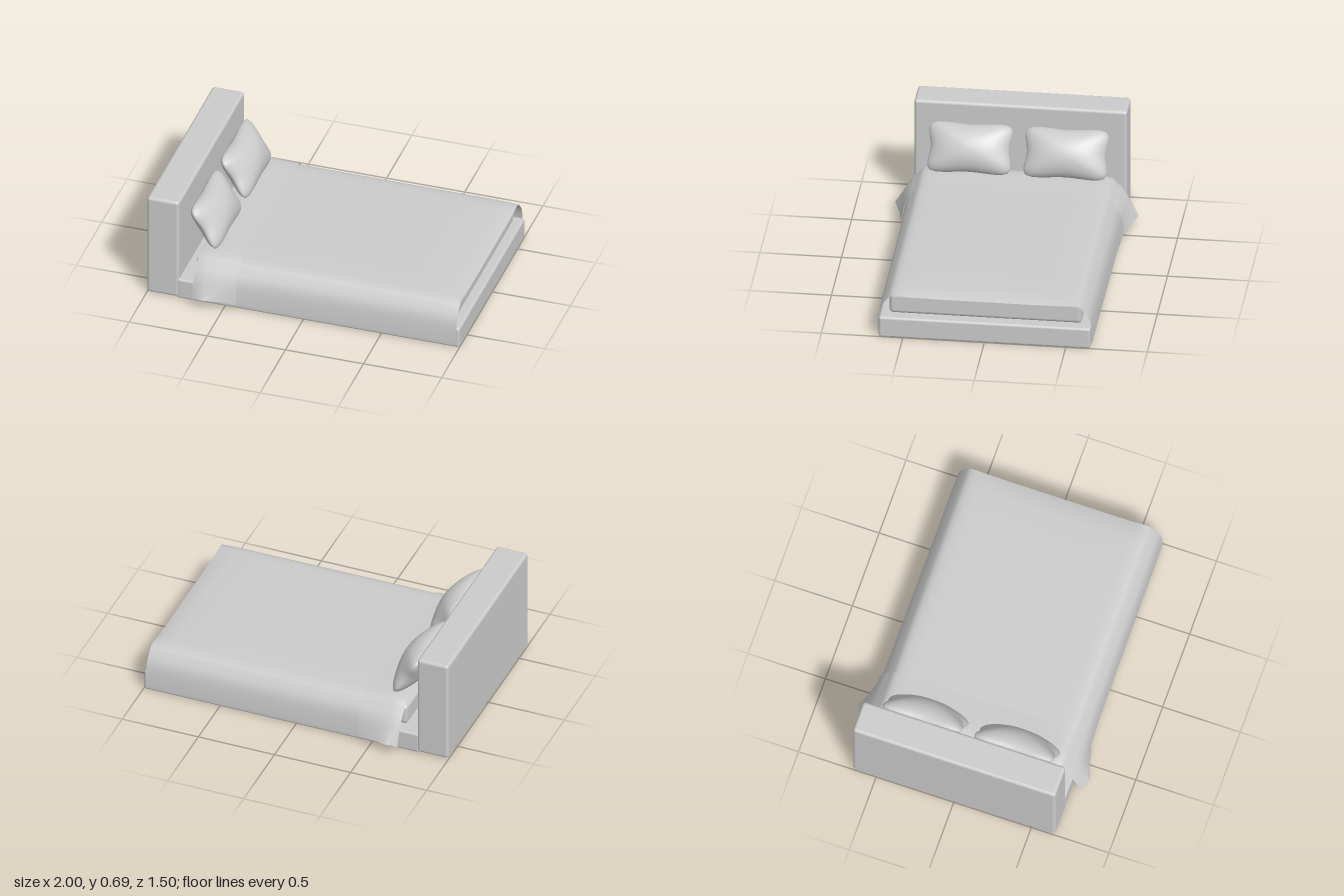
import * as THREE from 'three';
import { RoundedBoxGeometry } from 'three/addons/geometries/RoundedBoxGeometry.js';
import { toCreasedNormals } from 'three/addons/utils/BufferGeometryUtils.js';

const grey = new THREE.MeshStandardMaterial({ color: 0xcccccc });
const thin = new THREE.MeshStandardMaterial({ color: 0xcccccc, side: THREE.DoubleSide });

// Rounded box given by its limits on each axis
function block(name, [x0, x1], [y0, y1], halfDepth, radius) {
  const geo = new RoundedBoxGeometry(x1 - x0, y1 - y0, halfDepth * 2, 3, radius);
  const mesh = new THREE.Mesh(geo, grey);
  mesh.position.set((x0 + x1) / 2, (y0 + y1) / 2, 0);
  mesh.name = name;
  return mesh;
}

// The same box as a hollow shell, without its underside (face group 3)
function shell(...args) {
  const mesh = block(...args);
  const index = [];
  mesh.geometry.groups.forEach(({ start, count }, side) => {
    if (side !== 3) for (let i = start; i < start + count; i++) index.push(i);
  });
  mesh.geometry.clearGroups();
  mesh.geometry.setIndex(index);
  mesh.material = thin;
  return mesh;
}

// Half of the draped cross-section: flat top, rounded shoulder, hanging side
function drapeHalf({ top, hem, flare, sag = 0 }) {
  const s = 0.6, y = top - 0.035;
  const bulge = THREE.MathUtils.clamp(1 - (flare - 0.66) / 0.09, 0, 1);
  const side = [[0.2, 0.47, 0.15], [0.4, 0.76, 0.32], [0.62, 0.92, 0.55], [1, 1, 1]];
  return [
    [0, top - sag], [0.3, top - sag], [0.48, top - sag * 0.8], [0.535, top - 0.002],
    [0.567, top - 0.007], [0.587, top - 0.018], [s, y],
    ...side.map(([straight, round, down]) => [
      s + (flare - s) * THREE.MathUtils.lerp(straight, round, bulge), y - (y - hem) * down,
    ]),
  ];
}

// Cloth lofted through cross-sections along the bed
function drape(name, sections) {
  const pos = [], index = [];
  let n = 0;
  for (const sec of sections) {
    const half = drapeHalf(sec);
    const ring = [...half.slice(1).reverse().map(([z, y]) => [-z, y]), ...half];
    n = ring.length;
    for (const [z, y] of ring) pos.push(sec.x, y, z);
  }
  for (let i = 0; i < sections.length - 1; i++) {
    for (let j = 0; j < n - 1; j++) {
      const a = i * n + j, b = a + n;
      index.push(a, a + 1, b, b, a + 1, b + 1);
    }
  }
  const geo = new THREE.BufferGeometry();
  geo.setAttribute('position', new THREE.Float32BufferAttribute(pos, 3));
  geo.setIndex(index);
  const mesh = new THREE.Mesh(toCreasedNormals(geo, 0.6), thin);
  mesh.name = name;
  return mesh;
}

// Cushion: a sphere squared off towards its seam, with pinched edges
function pillowGeometry(halfWidth, halfHeight, halfThick) {
  const geo = new THREE.SphereGeometry(1, 56, 28);
  const p = geo.attributes.position;
  for (let i = 0; i < p.count; i++) {
    const x = p.getX(i), t = p.getY(i), z = p.getZ(i);
    const a = Math.atan2(z, x), c = Math.cos(a), s = Math.sin(a), d = Math.hypot(x, z);
    const square = 1 / Math.pow(Math.abs(c) ** 8 + Math.abs(s) ** 8, 1 / 8);
    const outline = square * (1 - 0.075 * Math.cos(2 * a) ** 2);
    const r = d * THREE.MathUtils.lerp(0.95, outline, d * d);
    const thick = Math.sign(t) * Math.abs(t) ** 1.2 * halfThick;
    p.setXYZ(i, r * c * halfHeight, thick, r * s * halfWidth);
  }
  geo.computeVertexNormals();
  return geo;
}

export function createModel() {
  const bed = new THREE.Group();
  bed.name = 'bed';

  // Frame, open underneath
  bed.add(shell('headboard', [-1, -0.795], [0.008, 0.695], 0.653, 0.02));
  bed.add(shell('base', [-0.81, 1], [0, 0.138], 0.65, 0.016));

  // Mattress
  bed.add(block('mattress', [-0.705, 0.95], [0.143, 0.278], 0.59, 0.025));

  // Blanket hanging over both sides
  bed.add(drape('blanket', [
    { x: -0.45, top: 0.296, hem: 0.046, flare: 0.676 },
    { x: -0.2, top: 0.296, hem: 0.044, flare: 0.667 },
    { x: 0.2, top: 0.295, hem: 0.043, flare: 0.664 },
    { x: 0.6, top: 0.294, hem: 0.042, flare: 0.662 },
    { x: 0.86, top: 0.294, hem: 0.041, flare: 0.661 },
    { x: 0.94, top: 0.291, hem: 0.04, flare: 0.66, sag: 0.004 },
    { x: 0.982, top: 0.287, hem: 0.04, flare: 0.66, sag: 0.014 },
  ]));

  // Turned-back fold flaring out at the head end
  bed.add(drape('blanketFold', [
    { x: -0.692, top: 0.303, hem: 0.055, flare: 0.715 },
    { x: -0.665, top: 0.309, hem: 0.07, flare: 0.73 },
    { x: -0.62, top: 0.312, hem: 0.08, flare: 0.748 },
    { x: -0.53, top: 0.308, hem: 0.066, flare: 0.712 },
    { x: -0.42, top: 0.304, hem: 0.05, flare: 0.686 },
  ]));

  // Two pillows leaning on the headboard
  const geo = pillowGeometry(0.26, 0.157, 0.098);
  for (const [name, side] of [['leftPillow', 1], ['rightPillow', -1]]) {
    const pillow = new THREE.Mesh(geo, grey);
    pillow.position.set(-0.672, 0.452, side * 0.295);
    pillow.rotation.z = -1.02;
    pillow.name = name;
    bed.add(pillow);
  }
  return bed;
}
